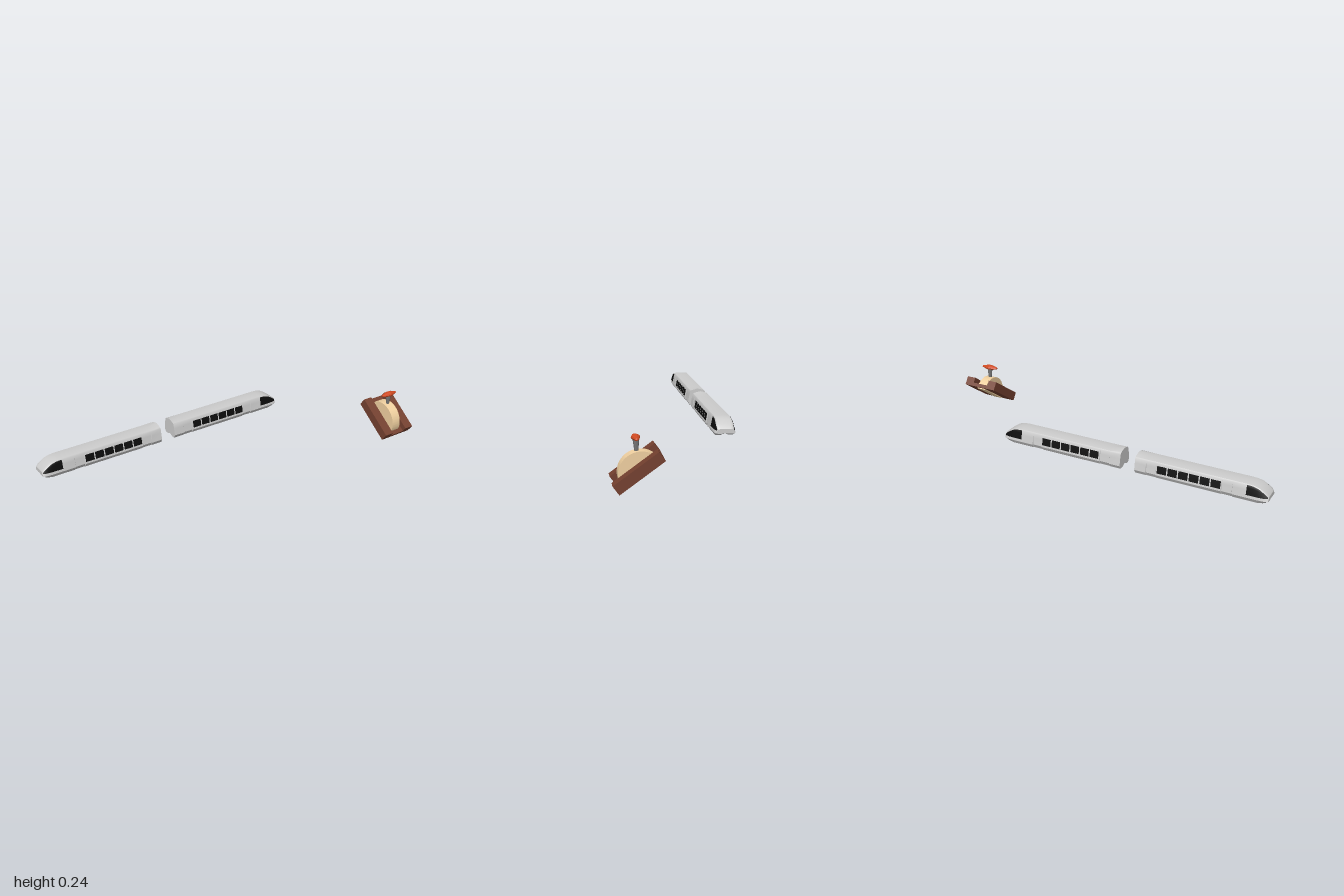
import * as THREE from 'three';
import { toCreasedNormals } from 'three/addons/utils/BufferGeometryUtils.js';

const paint = (color, extra = {}) => new THREE.MeshStandardMaterial({ color, ...extra });
const grey = paint(0xcccccc);
const black = paint(0x0c0c0c, { side: THREE.DoubleSide });
const wood = paint(0x74402f);
const cream = paint(0xf0d0a0);
const steel = paint(0x777777, { flatShading: true });
const red = paint(0xd04a22, { flatShading: true });

function add(parent, name, geometry, material, x = 0, y = 0, z = 0) {
  const mesh = new THREE.Mesh(geometry, material);
  mesh.name = name;
  mesh.position.set(x, y, z);
  parent.add(mesh);
  return mesh;
}

// Half cross-section of a carriage, roof centre to grooved floor: [z, y]
const SILL = 0.117;
const HALF = [[0, 0.185], [0.028, 0.184], [0.039, 0.182], [0.0435, 0.176], [0.048, 0.154],
  [0.055, SILL], [0.043, 0.097], [0.022, 0.097], [0, 0.108]];

// Stations along a carriage: [x, roof, floor, width, side scale (doors), roof peak]
const STATIONS = [
  [-0.720, 0.138, 0.114, 0.86, 1, 0], [-0.712, 0.148, 0.109, 0.93, 1, 0],
  [-0.695, 0.161, 0.102, 0.98, 1, 0], [-0.670, 0.176, 0.097, 1, 1, 0],
  [-0.645, 0.183, 0.097, 1, 1, 0], [-0.615, 0.185, 0.097, 1, 1, 0],
  [-0.545, 0.185, 0.097, 1, 1, 0], [-0.543, 0.185, 0.097, 1, 0.93, 0],
  [-0.492, 0.185, 0.097, 1, 0.93, 0], [-0.490, 0.185, 0.097, 1, 1, 0],
  [-0.155, 0.185, 0.097, 1, 1, 0], [-0.153, 0.185, 0.097, 1, 0.93, 0],
  [-0.102, 0.185, 0.097, 1, 0.93, 0], [-0.100, 0.185, 0.097, 1, 1, 0],
  [-0.040, 0.185, 0.097, 1, 1, 0.009],
];

// Half section at any x, blended between stations
function sectionAt(x) {
  let i = 0;
  while (i < STATIONS.length - 2 && x > STATIONS[i + 1][0]) i++;
  const a = STATIONS[i], b = STATIONS[i + 1];
  const t = (x - a[0]) / (b[0] - a[0]);
  const [, roof, floor, width, door, peak] = a.map((v, k) => v + (b[k] - v) * t);
  return HALF.map(([z, y]) => [
    z * width * (y < 0.165 ? door : 1),
    y >= SILL
      ? SILL + (y - SILL) * (roof - SILL) / 0.068 + (y > 0.18 ? peak * (1 - z / 0.044) : 0)
      : SILL - (SILL - y) * (SILL - floor) / 0.02,
  ]);
}

function bodyGeometry() {
  const pos = [], index = [];
  const n = 2 * HALF.length - 2;
  for (const [x] of STATIONS) {
    const half = sectionAt(x);
    const mirrored = half.slice(1, -1).reverse().map(([z, y]) => [-z, y]);
    for (const [z, y] of [...half, ...mirrored]) pos.push(x, y, z);
  }
  const last = STATIONS.length - 1;
  for (let i = 0; i < last; i++) {
    for (let j = 0; j < n; j++) {
      const a = i * n + j, b = i * n + (j + 1) % n;
      index.push(a, b, a + n, b, b + n, a + n);
    }
  }
  // End caps fan out from a central point
  const c = pos.length / 3;
  pos.push(STATIONS[0][0], 0.125, 0, STATIONS[last][0], 0.14, 0);
  for (let j = 0; j < n; j++) {
    const k = (j + 1) % n;
    index.push(c, k, j, c + 1, last * n + j, last * n + k);
  }
  const g = new THREE.BufferGeometry();
  g.setAttribute('position', new THREE.Float32BufferAttribute(pos, 3));
  g.setIndex(index);
  return toCreasedNormals(g, 0.6);
}

// Depth of the side wall at a given x and height
function wallZ(x, y) {
  const s = sectionAt(x);
  for (let i = 0; i < 5; i++) {
    const [z0, y0] = s[i], [z1, y1] = s[i + 1];
    if (y <= y0 && y >= y1) return z0 + (z1 - z0) * (y0 - y) / (y0 - y1);
  }
  return s[5][0];
}

// Glass pane lying just outside the side wall
function paneGeometry(x0, x1, low, high, side, cols, rows) {
  const g = new THREE.PlaneGeometry(1, 1, cols, rows);
  const p = g.attributes.position;
  for (let i = 0; i < p.count; i++) {
    const x = x0 + (x1 - x0) * (p.getX(i) + 0.5);
    const y = low + (high(x) - low) * (p.getY(i) + 0.5);
    p.setXYZ(i, x, y, side * (wallZ(x, y) + 0.0015));
  }
  g.computeVertexNormals();
  return g;
}

function makeCarriage(name) {
  const car = new THREE.Group();
  car.name = name;
  add(car, 'carriageBody', bodyGeometry(), grey);
  const cabTop = x => Math.max(0.133, sectionAt(x)[0][1] - 0.006);
  for (const side of [1, -1]) {
    add(car, 'cabWindow', paneGeometry(-0.717, -0.613, 0.131, cabTop, side, 16, 8), black);
    for (let i = 0; i < 6; i++) {
      const x = -0.487 + i * 0.0555;
      add(car, 'sideWindow', paneGeometry(x, x + 0.049, 0.128, () => 0.166, side, 1, 4), black);
    }
  }
  car.position.set(-0.28, 0, -0.2765);
  return car;
}

function makeControl() {
  const control = new THREE.Group();
  control.name = 'speedControl';

  // Sloping base: two rails with a lower panel between them
  const base = new THREE.Group();
  base.name = 'controlBase';
  base.position.set(0.9, 0.0945, 0.218);
  base.rotation.x = 0.625;
  control.add(base);
  for (const s of [1, -1]) {
    add(base, 'sideRail', new THREE.BoxGeometry(0.052, 0.05, 0.245), wood, s * 0.074);
  }
  add(base, 'middlePanel', new THREE.BoxGeometry(0.096, 0.02, 0.245), wood, 0, -0.015);

  // Half disc standing through the panel
  const arc = new THREE.Shape().absarc(0, 0, 0.102, 0, Math.PI, false);
  const disc = new THREE.ExtrudeGeometry(arc, { depth: 0.054, bevelEnabled: false, curveSegments: 32 });
  disc.translate(0, 0, -0.027).rotateY(Math.PI / 2);
  add(base, 'halfDisc', toCreasedNormals(disc, 0.5), cream, 0, -0.03);

  // Lever with a spindle-shaped grip
  const stem = add(control, 'leverStem', new THREE.CylinderGeometry(0.0145, 0.009, 0.058, 8), steel, 0.9, 0.196, 0.2195);
  stem.rotation.x = 0.05;
  const profile = [[0, -0.05], [0.005, -0.048], [0.008, -0.036], [0.012, -0.016], [0.0145, 0],
    [0.012, 0.016], [0.008, 0.036], [0.005, 0.048], [0, 0.05]].map(p => new THREE.Vector2(...p));
  const grip = new THREE.LatheGeometry(profile, 10).rotateZ(Math.PI / 2).scale(1, 1, 1.45);
  add(control, 'leverGrip', grip, red, 0.9, 0.23, 0.222);
  return control;
}

export function createModel() {
  const model = new THREE.Group();
  model.name = 'trainSet';
  const rear = makeCarriage('rightCarriage');
  const front = makeCarriage('leftCarriage');
  front.rotation.y = Math.PI;
  model.add(rear, front, makeControl());
  return model;
}
